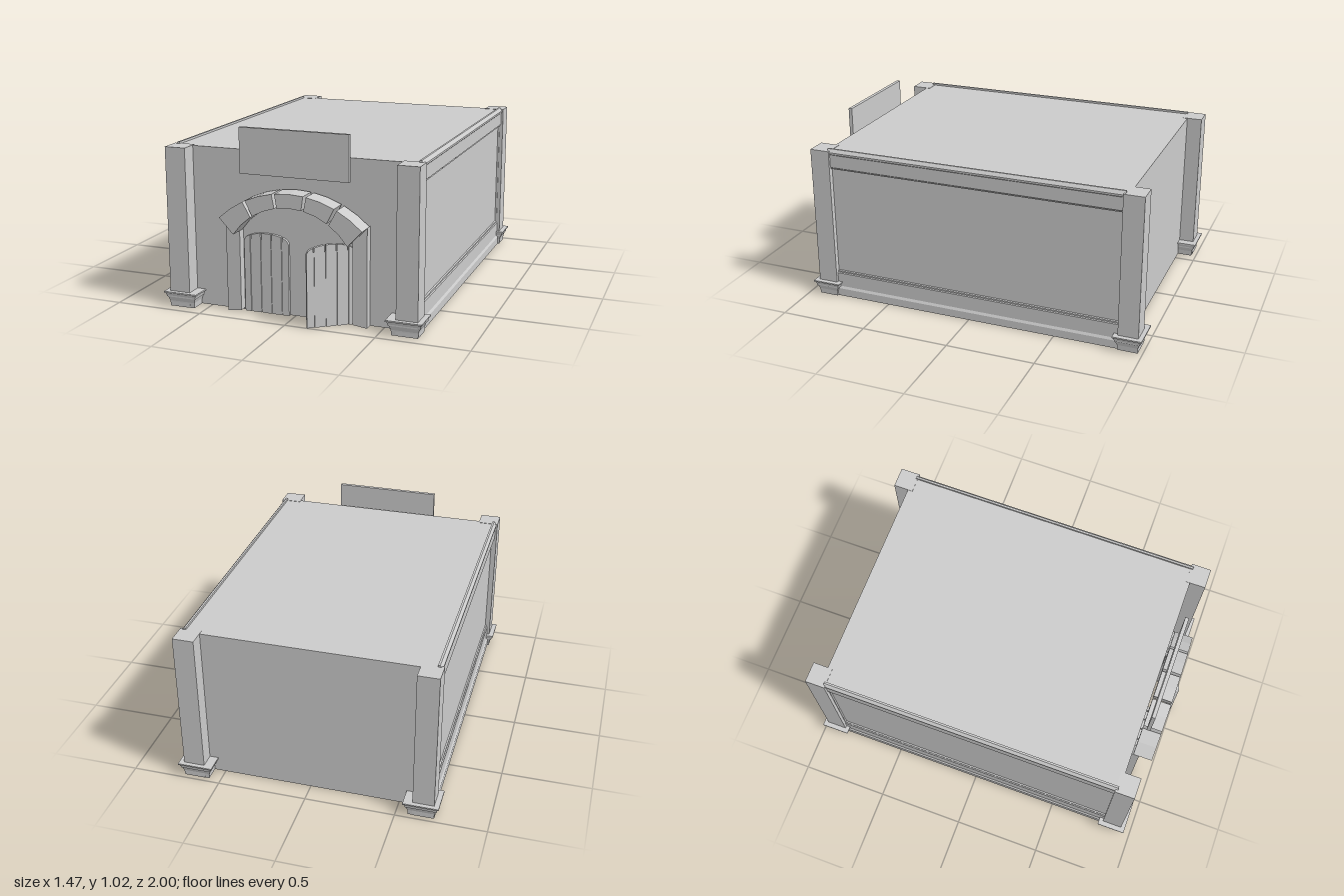
import * as THREE from 'three';

const mat = new THREE.MeshStandardMaterial({ color: 0xcccccc, flatShading: true, side: THREE.DoubleSide });

function add(parent, name, geo, x = 0, y = 0, z = 0) {
  const m = new THREE.Mesh(geo, mat);
  m.name = name;
  m.position.set(x, y, z);
  parent.add(m);
  return m;
}

// box given by its limits
function block(parent, name, x0, x1, y0, y1, z0, z1) {
  return add(parent, name, new THREE.BoxGeometry(x1 - x0, y1 - y0, z1 - z0),
    (x0 + x1) / 2, (y0 + y1) / 2, (z0 + z1) / 2);
}

function extrude(points, depth) {
  const shape = new THREE.Shape(points.map(p => new THREE.Vector2(p[0], p[1])));
  return new THREE.ExtrudeGeometry(shape, { depth, bevelEnabled: false });
}

// box whose top and bottom have different half sizes
function taper(bx, bz, tx, tz, h) {
  const g = new THREE.BoxGeometry(2, h, 2);
  const p = g.attributes.position;
  for (let i = 0; i < p.count; i++) {
    const top = p.getY(i) > 0;
    p.setX(i, p.getX(i) * (top ? tx : bx));
    p.setZ(i, p.getZ(i) * (top ? tz : bz));
  }
  g.computeVertexNormals();
  return g;
}

// corner pillar on a stepped, flaring foot
function cornerPillar(parent, side, z0, z1) {
  const g = new THREE.Group();
  g.name = 'cornerPillar';
  parent.add(g);
  const xs = [side * 0.59, side * 0.708].sort((a, b) => a - b);
  block(g, 'pillarShaft', xs[0], xs[1], 0, 0.89, z0, z1);
  const cz = (z0 + z1) / 2;
  // y0, y1, bottom spread, top spread
  const steps = [[0, 0.03, 0, 0.002], [0.03, 0.055, 0.002, 0.011], [0.055, 0.062, 0.015, 0.015],
    [0.062, 0.078, 0.015, 0.021], [0.078, 0.086, 0.026, 0.026]];
  for (const [y0, y1, b, t] of steps) {
    add(g, 'pillarFoot', taper(0.072 + b, 0.055 + b, 0.072 + t, 0.055 + t, y1 - y0),
      side * 0.638, (y0 + y1) / 2, cz);
  }
}

// moulded side wall, one profile swept along z
function sideWall(parent, side) {
  const profile = [[0.6, 0], [0.7, 0], [0.7, 0.045], [0.692, 0.058], [0.692, 0.14], [0.686, 0.144],
    [0.686, 0.152], [0.678, 0.155], [0.678, 0.78], [0.69, 0.783], [0.69, 0.789], [0.696, 0.794],
    [0.696, 0.868], [0.7, 0.872], [0.7, 0.882], [0.685, 0.9], [0.674, 0.9], [0.674, 0.885], [0.6, 0.885]];
  add(parent, 'sideWall', extrude(profile.map(([x, y]) => [x * side, y]), 1.71), 0, 0, -0.87);
  const xs = [side * 0.67, side * 0.688].sort((a, b) => a - b);
  for (const z of [-0.87, 0.825]) {
    block(parent, 'panelStile', xs[0], xs[1], 0.15, 0.785, z, z + 0.015);
  }
}

// plank door leaf with a shallow arched top, from x = 0 to x = width
function plankDoor(parent, name) {
  const g = new THREE.Group();
  g.name = name;
  parent.add(g);
  const width = 0.258;
  const edges = [0, 0.038, 0.099, 0.159, 0.22, width];
  const top = x => 0.398 + 0.046 * Math.sqrt(Math.max(0, 1 - (2 * x / width - 1) ** 2));
  for (let i = 0; i < 5; i++) {
    const a = edges[i] + (i ? 0.003 : 0), b = edges[i + 1] - (i < 4 ? 0.003 : 0);
    const pts = [[a, 0], [b, 0]];
    for (let k = 0; k <= 4; k++) {
      const x = b + (a - b) * k / 4;
      pts.push([x, top(x)]);
    }
    add(g, 'doorPlank', extrude(pts, 0.02));
  }
  // backing seen in the joints between planks
  block(g, 'doorBacking', 0.01, width - 0.01, 0, 0.405, 0.003, 0.014);
  return g;
}

// arch of five stones with open joints, over two jambs
function archway(parent) {
  const g = new THREE.Group();
  g.name = 'archway';
  g.position.x = 0.02;
  parent.add(g);
  const outer = t => [0.58 * Math.sin(t * 0.761), 0.12 + 0.58 * Math.cos(t * 0.761)];
  const inner = t => [0.386 * Math.sin(t * 0.977), 0.239 + 0.386 * Math.cos(t * 0.977)];
  for (let i = 0; i < 5; i++) {
    const a = -1 + 0.4 * i + (i ? 0.018 : 0), b = -0.6 + 0.4 * i - (i < 4 ? 0.018 : 0);
    const ts = [a, (a + b) / 2, b];
    const pts = [...ts.map(outer), ...ts.map(inner).reverse()];
    add(g, 'archStone', extrude(pts, 0.11), 0, 0, 0.862);
  }
  for (const s of [-1, 1]) {
    const pts = [[0.32, 0.01], [0.4, 0], [0.4, 0.54], [0.32, 0.455]];
    add(g, 'doorJamb', extrude(pts.map(([x, y]) => [x * s, y]), 0.055), 0, 0, 0.84);
  }
}

export function createModel() {
  const model = new THREE.Group();
  model.name = 'building';

  block(model, 'mainBody', -0.674, 0.674, 0, 0.888, -0.888, 0.848);
  for (const side of [-1, 1]) {
    sideWall(model, side);
    cornerPillar(model, side, 0.825, 0.938);
    cornerPillar(model, side, -0.974, -0.86);
  }

  archway(model);

  // one leaf closed against the wall, the other swung outwards
  plankDoor(model, 'closedDoor').position.set(-0.29, 0, 0.845);
  const hinge = new THREE.Group();
  hinge.name = 'openDoorHinge';
  hinge.position.set(0.328, 0, 0.835);
  hinge.rotation.y = THREE.MathUtils.degToRad(35);
  model.add(hinge);
  plankDoor(hinge, 'openDoor').position.x = -0.258;

  block(model, 'signBoard', -0.287, 0.325, 0.77, 1.017, 0.883, 0.904);
  return model;
}
